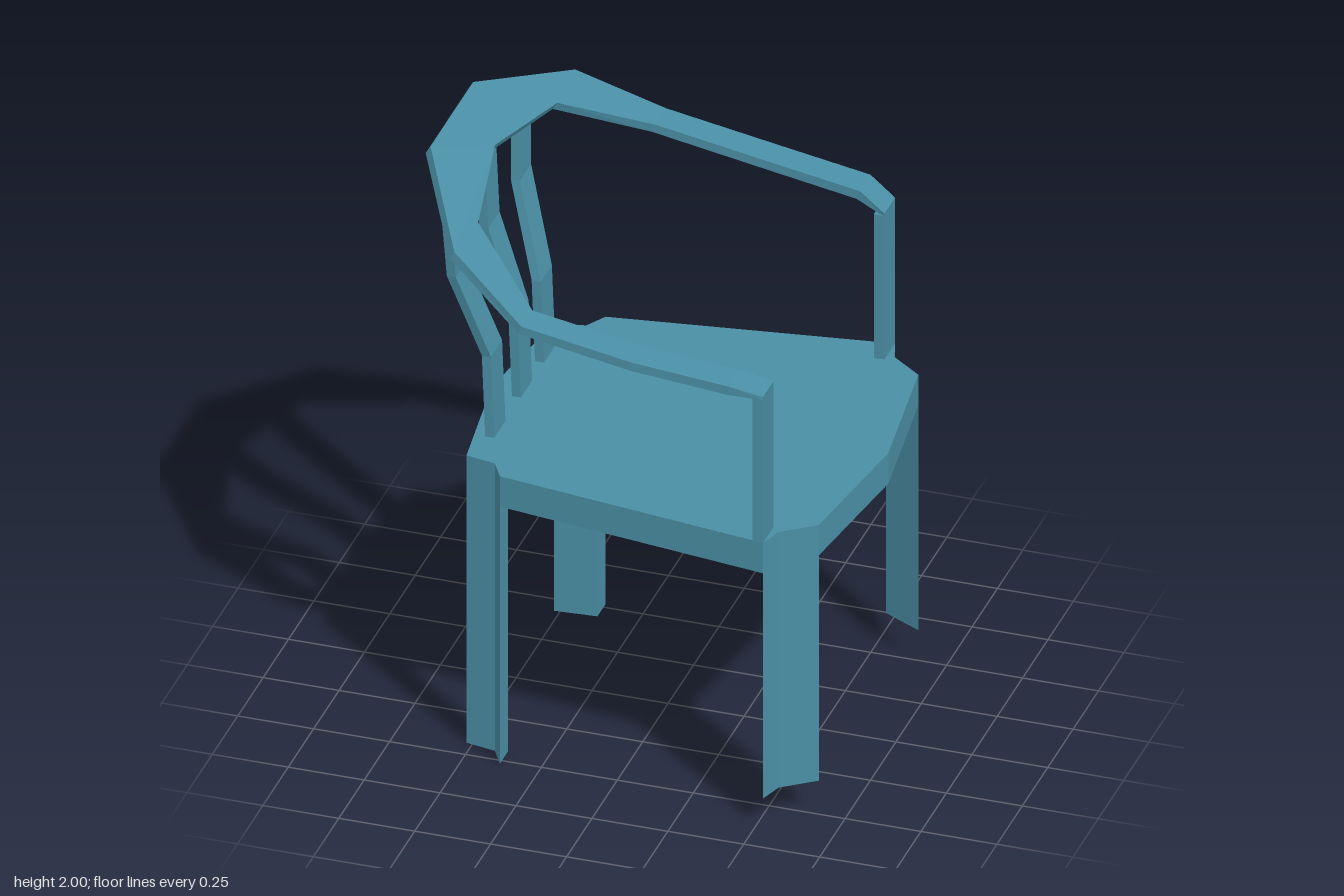
import * as THREE from 'three';

const teal = new THREE.MeshStandardMaterial({ color: 0x4a8fa5 });
teal.name = 'teal';

function mesh(name, geometry) {
  const m = new THREE.Mesh(geometry, teal);
  m.name = name;
  return m;
}

// Vertical prism from an outline of [x, z] points.
function prism(points, y0, y1) {
  const shape = new THREE.Shape(points.map(([x, z]) => new THREE.Vector2(x, -z)));
  const g = new THREE.ExtrudeGeometry(shape, { depth: y1 - y0, bevelEnabled: false });
  return g.rotateX(-Math.PI / 2).translate(0, y0, 0);
}

// Faceted solid through four-cornered cross-sections, closed at both ends.
function loft(rings) {
  const pos = [];
  const quad = (a, b, c, d) => pos.push(...a, ...b, ...c, ...a, ...c, ...d);
  for (let i = 0; i < rings.length - 1; i++) {
    for (let j = 0; j < 4; j++) {
      const k = (j + 1) % 4;
      quad(rings[i][j], rings[i][k], rings[i + 1][k], rings[i + 1][j]);
    }
  }
  const s = rings[0], e = rings[rings.length - 1];
  quad(s[3], s[2], s[1], s[0]);
  quad(e[0], e[1], e[2], e[3]);
  const g = new THREE.BufferGeometry();
  g.setAttribute('position', new THREE.Float32BufferAttribute(pos, 3));
  g.computeVertexNormals();
  return g;
}

export function createModel() {
  const chair = new THREE.Group();
  chair.name = 'armchair';

  // Leg sections: three outer corners with a notch, then the inner corner.
  const frontLeg = [[0.53, 0.65], [0.555, 0.57], [0.66, 0.49], [0.53, 0.56]];
  const backLeg = [[-0.52, 0.43], [-0.42, 0.45], [-0.38, 0.52], [-0.38, 0.44]];
  const flip = (pts) => pts.map(([x, z]) => [x, -z]);

  // Seat: bowed front and back, notched where the legs sit.
  const side = [...frontLeg.slice(0, 3).reverse(), ...backLeg.slice(0, 3).reverse()];
  const outline = [[0.725, 0], ...side, [-0.58, 0], ...flip(side).reverse()];
  chair.add(mesh('seat', prism(outline, 0.93, 1.04)));

  // Legs and arm posts, mirrored.
  for (const [label, s] of [['left', 1], ['right', -1]]) {
    const at = (pts) => (s > 0 ? pts : flip(pts));
    chair.add(mesh(label + 'SideFrontLeg', prism(at(frontLeg), 0.115, 0.93)));
    chair.add(mesh(label + 'SideBackLeg', prism(at(backLeg), 0, 0.93)));
    const post = [[0.495, 0.545], [0.53, 0.545], [0.53, 0.65], [0.495, 0.65]];
    chair.add(mesh(label + 'SideArmPost', prism(at(post), 1.04, 1.56)));
  }

  // Back slats: [y, x of front face, z of centre] per section.
  const slat = (rows) => loft(rows.map(([y, x, z]) => [
    [x - 0.03, y, z - 0.055], [x - 0.03, y, z + 0.055], [x, y, z + 0.055], [x, y, z - 0.055],
  ]));
  chair.add(mesh('centreSlat', slat([
    [1.04, -0.472, -0.018], [1.33, -0.483, -0.016], [1.64, -0.575, -0.005], [1.905, -0.585, 0],
  ])));
  for (const s of [1, -1]) {
    chair.add(mesh('sideSlat', slat([
      [1.04, -0.472, s * 0.245], [1.33, -0.483, s * 0.245],
      [1.64, -0.575, s * 0.315], [1.9, -0.585, s * 0.345],
    ])));
  }

  // Top rail and arms: outer x, z, y; inner x, z, y; underside shift in x, y.
  const half = [
    [0.53, 0.65, 1.568, 0.53, 0.545, 1.568, 0, -0.012],
    [0.435, 0.692, 1.61, 0.435, 0.585, 1.61, -0.01, -0.03],
    [0.12, 0.712, 1.65, 0.12, 0.605, 1.65, -0.005, -0.03],
    [-0.245, 0.712, 1.713, -0.245, 0.605, 1.713, -0.01, -0.028],
    [-0.505, 0.595, 1.87, -0.495, 0.39, 1.865, -0.015, -0.025],
    [-0.712, 0.21, 2.0, -0.57, 0, 1.915, -0.016, -0.027],
  ];
  const mirrored = half.map(([a, b, c, d, e, f, g, h]) => [a, -b, c, d, -e, f, g, h]).reverse();
  const rings = [...half, ...mirrored].map(([xo, zo, yo, xi, zi, yi, dx, dy]) => [
    [xi + dx, yi + dy, zi], [xo + dx, yo + dy, zo], [xo, yo, zo], [xi, yi, zi],
  ]);
  chair.add(mesh('armAndBackRail', loft(rings)));

  return chair;
}
